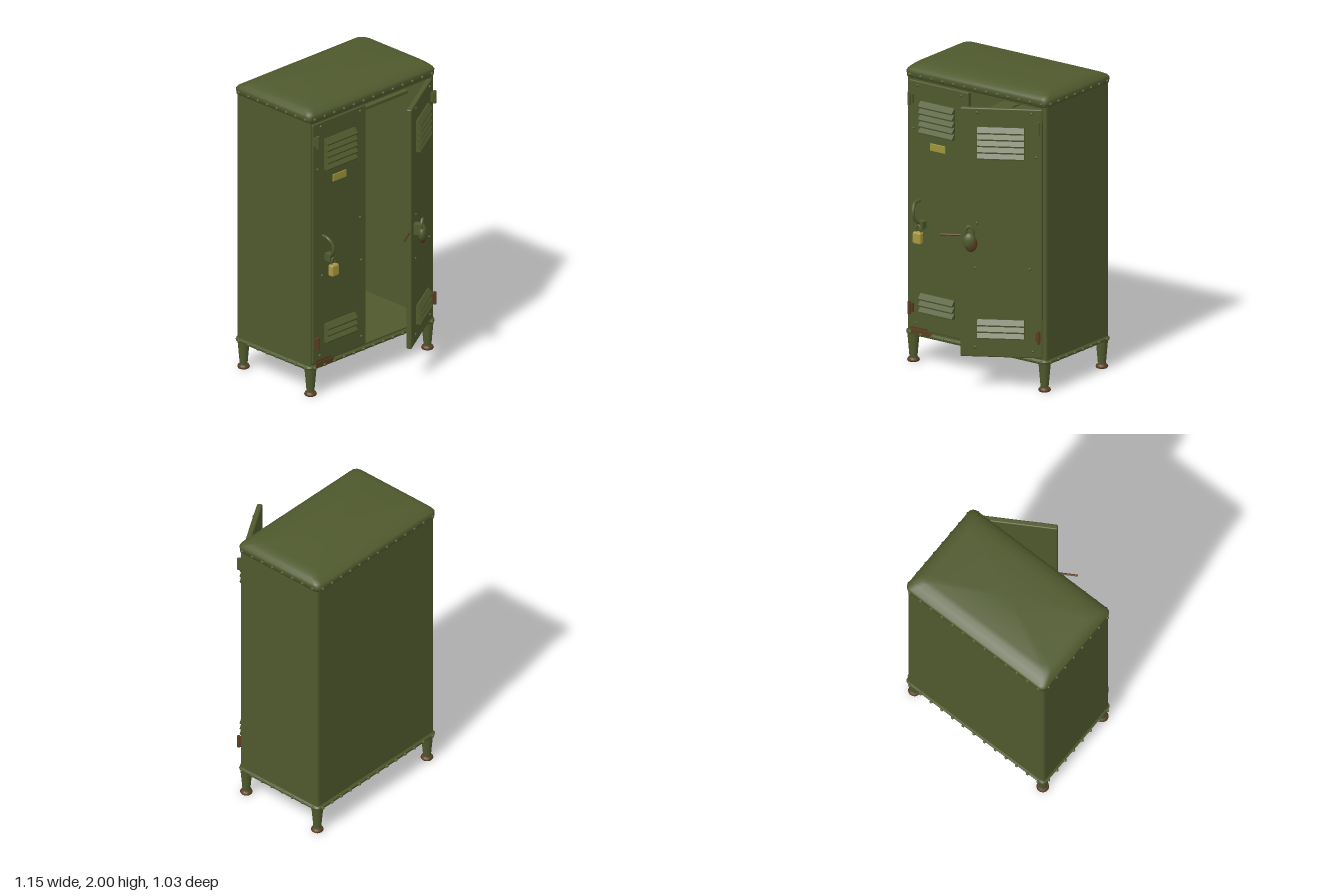
import * as THREE from 'three';
import { toCreasedNormals } from 'three/addons/utils/BufferGeometryUtils.js';
import { RoundedBoxGeometry } from 'three/addons/geometries/RoundedBoxGeometry.js';

const mat = (name, color) => {
  const m = new THREE.MeshStandardMaterial({ color });
  m.name = name;
  return m;
};
const olive = mat('olive paint', 0x4f592d);
const dark = mat('dark interior', 0x23270f);
const rust = mat('rust', 0x5a3d22);
const brass = mat('brass', 0xa8983f);
const label = mat('yellow label', 0x9c9638);

function add(parent, name, geometry, material, x = 0, y = 0, z = 0) {
  const mesh = new THREE.Mesh(geometry, material);
  mesh.name = name;
  mesh.position.set(x, y, z);
  parent.add(mesh);
  return mesh;
}
const box = (w, h, d) => new THREE.BoxGeometry(w, h, d);
const rounded = (w, h, d, r) => new RoundedBoxGeometry(w, h, d, 2, r);
const tube = (pts, r, n = 20) =>
  new THREE.TubeGeometry(new THREE.CatmullRomCurve3(pts.map(p => new THREE.Vector3(...p))), n, r, 8);

// Closed solid through rounded-rectangle rings: [y, xHalf, zBack, zFront, cornerRadius]
function loft(rings, crease = 0.6) {
  const pos = [], idx = [], seg = 5, n = 4 * (seg + 1);
  for (const [y, hx, z0, z1, r] of rings) {
    for (let c = 0; c < 4; c++) {
      const cx = (c === 0 || c === 3 ? 1 : -1) * (hx - r);
      const cz = c < 2 ? z1 - r : z0 + r;
      for (let s = 0; s <= seg; s++) {
        const a = (c + s / seg) * Math.PI / 2;
        pos.push(cx + r * Math.cos(a), y, cz + r * Math.sin(a));
      }
    }
  }
  for (let i = 0; i < rings.length - 1; i++) {
    for (let j = 0; j < n; j++) {
      const k = (j + 1) % n, a = i * n + j, b = i * n + k;
      idx.push(a, a + n, b, b, a + n, b + n);
    }
  }
  const last = rings.length - 1, bottom = pos.length / 3, top = bottom + 1;
  for (const [y, , z0, z1] of [rings[0], rings[last]]) pos.push(0, y, (z0 + z1) / 2);
  for (let j = 0; j < n; j++) {
    const k = (j + 1) % n;
    idx.push(bottom, j, k, top, last * n + k, last * n + j);
  }
  const g = new THREE.BufferGeometry();
  g.setAttribute('position', new THREE.Float32BufferAttribute(pos, 3));
  g.setIndex(idx);
  return toCreasedNormals(g, crease);
}

// Sheet-metal walls, a C section open at the front
function wallsGeometry(height) {
  const x = 0.555, b = 0.485, f = -0.182, t = 0.018, r = 0.02, lip = 0.53;
  const s = new THREE.Shape();
  s.moveTo(-lip, f);
  s.lineTo(-x + r, f);
  s.quadraticCurveTo(-x, f, -x, f + r);
  s.lineTo(-x, b - r);
  s.quadraticCurveTo(-x, b, -x + r, b);
  s.lineTo(x - r, b);
  s.quadraticCurveTo(x, b, x, b - r);
  s.lineTo(x, f + r);
  s.quadraticCurveTo(x, f, x - r, f);
  s.lineTo(lip, f);
  s.lineTo(lip, f + t);
  s.lineTo(x - t, f + t);
  s.lineTo(x - t, b - t);
  s.lineTo(-x + t, b - t);
  s.lineTo(-x + t, f + t);
  s.lineTo(-lip, f + t);
  const g = new THREE.ExtrudeGeometry(s, { depth: height, bevelEnabled: false, curveSegments: 4 });
  return g.rotateX(-Math.PI / 2);
}

// Row of sloping vent slats
function louvers(parent, x, yBottom, width, count) {
  const g = new THREE.Group();
  g.name = 'louvers';
  const step = 0.043;
  add(g, 'louverPlate', box(width, count * step, 0.008), olive, 0, count * step / 2, 0.002);
  const s = new THREE.Shape();
  s.moveTo(0, 0.006);
  s.lineTo(-0.032, 0.002);
  s.lineTo(-0.034, 0.012);
  s.lineTo(-0.008, 0.043);
  s.lineTo(0, 0.043);
  const slat = new THREE.ExtrudeGeometry(s, { depth: width, bevelEnabled: false });
  slat.rotateY(Math.PI / 2).translate(-width / 2, 0, 0);
  for (let i = 0; i < count; i++) add(g, 'slat', slat, olive, 0, i * step, 0);
  g.position.set(x, yBottom, 0);
  parent.add(g);
}

// Door panel with its hinge line at local x = 0, reaching along dir
function makeDoor(name, dir, width, ventX, ventW) {
  const d = new THREE.Group();
  d.name = name;
  add(d, 'doorPanel', rounded(width, 1.665, 0.035, 0.008), olive, dir * width / 2, 1.057, -0.0175);
  louvers(d, dir * ventX, 1.55, ventW, 5);
  louvers(d, dir * ventX, 0.35, ventW, 3);
  const rivet = new THREE.SphereGeometry(0.01, 8, 6);
  for (const [x, y] of [[0.07, 1.86], [0.42, 1.86], [0.04, 1.57], [0.08, 0.82], [0.42, 1.12], [0.43, 0.82], [0.43, 0.29], [0.06, 0.27]])
    add(d, 'doorRivet', rivet, olive, dir * x, y, 0);
  // hinges
  for (const [y, m] of [[1.77, olive], [0.37, rust]]) {
    add(d, 'hingeBarrel', new THREE.CylinderGeometry(0.011, 0.011, 0.085, 10), m, dir * 0.022, y, 0.022);
    add(d, 'hingeLeaf', box(0.035, 0.06, 0.02), m, dir * 0.025, y, 0.006);
  }
  return d;
}

export function createModel() {
  const model = new THREE.Group();
  model.name = 'locker';

  // cabinet shell
  add(model, 'walls', wallsGeometry(1.72), olive, 0, 0.2, 0);
  add(model, 'base', loft([
    [0.18, 0.55, -0.485, 0.18, 0.03], [0.186, 0.563, -0.496, 0.191, 0.03],
    [0.2, 0.566, -0.498, 0.194, 0.03], [0.212, 0.556, -0.488, 0.184, 0.03]]), olive);
  add(model, 'sill', box(1.07, 0.03, 0.02), olive, 0, 0.208, 0.172);
  add(model, 'header', box(1.07, 0.03, 0.02), olive, 0, 1.903, 0.172);
  add(model, 'roof', loft([
    [1.9, 0.55, -0.485, 0.182, 0.03], [1.908, 0.562, -0.497, 0.192, 0.035],
    [1.945, 0.567, -0.5, 0.196, 0.04], [1.958, 0.56, -0.49, 0.19, 0.04],
    [1.975, 0.544, -0.455, 0.168, 0.045], [1.992, 0.522, -0.415, 0.135, 0.05],
    [2.0, 0.48, -0.385, 0.08, 0.05]], 1.0), olive);

  // rivets round the roof and base rims
  const rivet = new THREE.SphereGeometry(0.011, 8, 6);
  for (const y of [1.925, 0.197]) {
    for (let i = 0; i < 13; i++)
      for (const z of [-0.5, 0.194]) add(model, 'rimRivet', rivet, olive, -0.522 + i * 0.087, y, z);
    for (let i = 0; i < 8; i++)
      for (const x of [-0.566, 0.566]) add(model, 'rimRivet', rivet, olive, x, y, -0.45 + i * 0.086);
  }

  // interior
  add(model, 'partition', box(0.11, 1.5, 0.5), olive, 0.003, 0.97, -0.22);
  add(model, 'partitionCap', box(0.116, 0.035, 0.51), olive, 0.003, 1.722, -0.22);
  add(model, 'shelf', box(0.5, 0.02, 0.43), olive, 0.287, 1.72, -0.25);
  add(model, 'upperBackPanel', box(1.06, 0.165, 0.006), dark, 0, 1.822, -0.46);

  // legs with rusty feet
  const leg = new THREE.CylinderGeometry(0.04, 0.025, 0.17, 12);
  const foot = new THREE.LatheGeometry([[0, 0], [0.036, 0], [0.041, 0.008], [0.036, 0.02], [0.025, 0.028], [0, 0.028]]
    .map(p => new THREE.Vector2(...p)), 16);
  for (const x of [-0.522, 0.522]) {
    for (const z of [-0.452, 0.155]) {
      add(model, 'leg', leg, olive, x, 0.105, z);
      add(model, 'foot', foot, rust, x, 0, z);
    }
  }

  // closed door with pull, brass padlock and label
  const closed = makeDoor('closedDoor', 1, 0.475, 0.235, 0.27);
  closed.position.set(-0.535, 0, 0.19);
  add(closed, 'pull', tube([[0.09, 1.095, 0], [0.087, 1.09, 0.05], [0.1, 1.05, 0.08], [0.103, 1.0, 0.08], [0.115, 0.965, 0.05], [0.12, 0.955, 0]], 0.011), olive);
  add(closed, 'hasp', box(0.04, 0.05, 0.05), olive, 0.125, 0.945, 0.022);
  add(closed, 'shackle', tube([[0.108, 0.9, 0.06], [0.11, 0.935, 0.06], [0.125, 0.95, 0.06], [0.14, 0.935, 0.06], [0.142, 0.9, 0.06]], 0.006), olive);
  add(closed, 'padlock', rounded(0.064, 0.08, 0.042, 0.012), brass, 0.123, 0.868, 0.064);
  add(closed, 'labelPlate', rounded(0.12, 0.05, 0.008, 0.003), label, 0.235, 1.47, 0.003);
  add(closed, 'rustPatch', box(0.13, 0.016, 0.004), rust, 0.09, 0.236, 0);
  add(model, 'sillRust', box(0.16, 0.03, 0.004), rust, -0.43, 0.21, 0.193);
  model.add(closed);

  // ajar door with latch rod and rusty lock
  const open = makeDoor('openDoor', -1, 0.525, 0.265, 0.3);
  open.position.set(0.53, 0, 0.19);
  open.rotation.y = 0.541;
  add(open, 'lockStem', box(0.05, 0.07, 0.05), olive, -0.455, 1.04, 0.02);
  add(open, 'lockBody', new THREE.SphereGeometry(0.05, 16, 12), rust, -0.452, 1.0, 0.055).scale.set(0.85, 1.15, 0.5);
  add(open, 'lockCover', new THREE.SphereGeometry(0.05, 16, 12), olive, -0.462, 1.015, 0.057).scale.set(0.85, 1.1, 0.56);
  add(open, 'lockShackle', tube([[-0.48, 1.03, 0.055], [-0.482, 1.09, 0.055], [-0.462, 1.113, 0.055], [-0.44, 1.09, 0.055], [-0.436, 1.04, 0.055]], 0.011), olive);
  const rod = add(open, 'latchRod', new THREE.CylinderGeometry(0.007, 0.007, 0.16, 8), rust, -0.575, 1.03, -0.017);
  rod.rotation.z = Math.PI / 2;
  model.add(open);

  return model;
}
